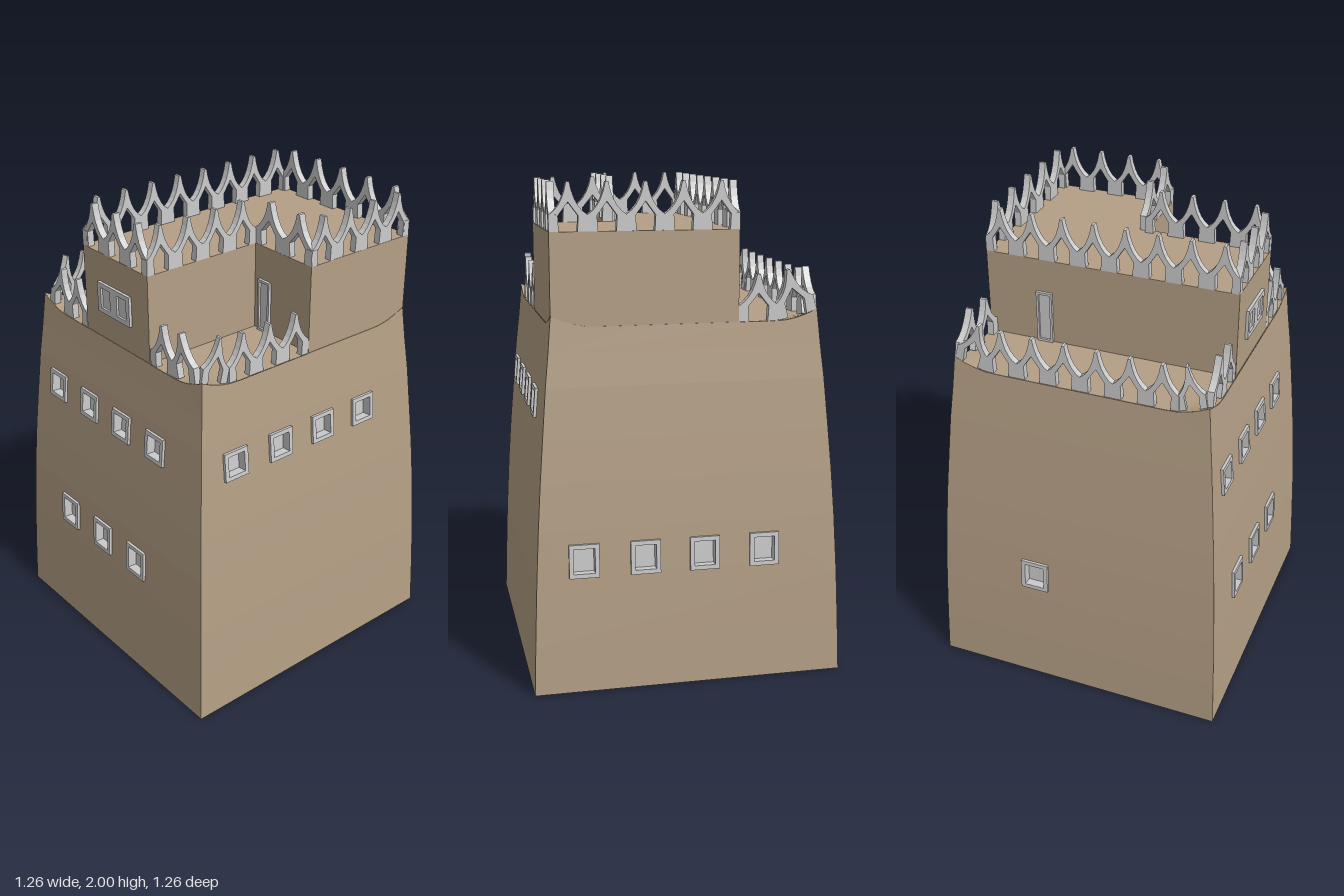
import * as THREE from 'three';

const MUD = new THREE.MeshStandardMaterial({ color: 0xb49f85, flatShading: true, side: THREE.DoubleSide });
const GREY = new THREE.MeshStandardMaterial({ color: 0xcccccc, flatShading: true });
const TERRACE = 1.45, ROOF = 1.81, HALF = 0.53;

// Half width of the tapering walls at each course height
const PROFILE = [[0, 0.63], [0.2, 0.623], [0.42, 0.614], [0.66, 0.601], [0.85, 0.588],
  [1.02, 0.574], [1.22, 0.557], [1.35, 0.543], [1.45, 0.533], [1.5, 0.529]];
function halfWidth(y) {
  let i = 0;
  while (i < PROFILE.length - 2 && y > PROFILE[i + 1][0]) i++;
  const [y0, w0] = PROFILE[i], [y1, w1] = PROFILE[i + 1];
  return w0 + (w1 - w0) * (y - y0) / (y1 - y0);
}

// The terrace and its walls sweep up at the corners
const rise = t => Math.min(1, Math.max(0, (Math.abs(t) - 0.36) / 0.17)) ** 2;
const terraceY = (x, z) => TERRACE + 0.045 * rise(x) * rise(z);

function mesh(name, geometry, material) {
  const m = new THREE.Mesh(geometry, material);
  m.name = name;
  return m;
}

function rect(cls, w, h, x = 0, y = 0) {
  const points = [[-1, -1], [1, -1], [1, 1], [-1, 1]].map(([a, b]) => new THREE.Vector2(x + a * w / 2, y + b * h / 2));
  return new cls(points);
}

// Framed opening: panes is a list of [x, width, height]
function framedOpening(name, w, h, panes, recess) {
  const group = new THREE.Group();
  group.name = name;
  const shape = rect(THREE.Shape, w, h);
  for (const [x, pw, ph] of panes) shape.holes.push(rect(THREE.Path, pw, ph, x));
  const frame = new THREE.ExtrudeGeometry(shape, { depth: recess + 0.012, bevelEnabled: false });
  frame.translate(0, 0, -recess);
  group.add(mesh('frame', frame, GREY));
  for (const [x, pw, ph] of panes) {
    const pane = mesh('pane', new THREE.PlaneGeometry(pw, ph), GREY);
    pane.position.set(x, 0, 0.003 - recess);
    group.add(pane);
  }
  return group;
}

// One sloping wall facing +z, built course by course with window holes
function slopingWall(name, windows) {
  const wall = new THREE.Group();
  wall.name = name;
  for (let i = 0; i < 8; i++) {
    const y0 = PROFILE[i][0], y1 = PROFILE[i + 1][0];
    const w0 = halfWidth(y0), w1 = halfWidth(y1);
    const pts = [new THREE.Vector2(-w0, y0), new THREE.Vector2(w0, y0)];
    if (i < 7) pts.push(new THREE.Vector2(w1, y1), new THREE.Vector2(-w1, y1));
    else for (let k = 24; k >= 0; k--) {
      const t = k / 12 - 1, y = terraceY(t * HALF, HALF);
      pts.push(new THREE.Vector2(t * halfWidth(y), y));
    }
    const shape = new THREE.Shape(pts);
    for (const [x, y, w, h] of windows)
      if (y > y0 && y < y1) shape.holes.push(rect(THREE.Path, w - 0.02, h - 0.02, x, y));
    const course = new THREE.ShapeGeometry(shape), p = course.attributes.position;
    for (let v = 0; v < p.count; v++) p.setZ(v, halfWidth(p.getY(v)));
    course.computeVertexNormals();
    wall.add(mesh('wallCourse', course, MUD));
  }
  for (const [x, y, w, h] of windows) {
    const win = framedOpening('window', w, h, [[0, w - 0.035, h - 0.035]], 0.03);
    win.position.set(x, y, halfWidth(y));
    win.rotation.x = -Math.atan((halfWidth(y - 0.02) - halfWidth(y + 0.02)) / 0.04);
    wall.add(win);
  }
  return wall;
}

// Ogee-shaped merlon with a pointed opening at its foot
function merlonGeometry(w, h) {
  const s = new THREE.Shape();
  const a = w / 2;
  s.moveTo(-a, 0);
  s.lineTo(-a, h * 0.34);
  s.quadraticCurveTo(-a * 0.3, h * 0.5, -a * 0.08, h);
  s.lineTo(a * 0.08, h);
  s.quadraticCurveTo(a * 0.3, h * 0.5, a, h * 0.34);
  s.lineTo(a, 0);
  s.lineTo(a * 0.48, 0);
  s.lineTo(a * 0.52, h * 0.32);
  s.lineTo(0, h * 0.6);
  s.lineTo(-a * 0.52, h * 0.32);
  s.lineTo(-a * 0.48, 0);
  s.closePath();
  const g = new THREE.ExtrudeGeometry(s, { depth: 0.028, bevelEnabled: false, curveSegments: 5 });
  return g.translate(0, 0, -0.014);
}

// Row of merlons between two points; heightAt gives the wall top
function merlonRow(name, [x0, z0], [x1, z1], count, heightAt) {
  const row = new THREE.Group();
  row.name = name;
  const width = Math.hypot(x1 - x0, z1 - z0) / count;
  const geometry = merlonGeometry(width, 0.185);
  const at = t => [x0 + (x1 - x0) * t, z0 + (z1 - z0) * t];
  for (let i = 0; i < count; i++) {
    const a = heightAt(...at(i / count)), b = heightAt(...at((i + 1) / count));
    const [x, z] = at((i + 0.5) / count);
    const m = mesh('merlon', geometry, GREY);
    m.position.set(x, (a + b) / 2, z);
    m.rotation.set(0, Math.atan2(z0 - z1, x1 - x0), Math.atan2(b - a, width));
    row.add(m);
  }
  return row;
}

export function createModel() {
  const model = new THREE.Group();
  model.name = 'mudBrickTower';

  // Sloping walls; windows are [x, y, width, height] as seen facing the wall
  const upper = [-0.4, -0.17, 0.055, 0.28].map(x => [x, 1.12, 0.115, 0.12]);
  const lower = x => [x, 0.54, 0.12, 0.135];
  const walls = [
    ['frontWall', 0, [...upper, ...[-0.305, -0.06, 0.18].map(lower)]],
    ['leftWall', Math.PI / 2, upper],
    ['backWall', Math.PI, [-0.425, -0.18, 0.06, 0.305].map(lower)],
    ['rightWall', -Math.PI / 2, [lower(-0.185)]],
  ];
  for (const [name, turn, windows] of walls) {
    const wall = slopingWall(name, windows);
    wall.rotation.y = turn;
    model.add(wall);
  }

  // Base and terrace floor
  const base = mesh('base', new THREE.PlaneGeometry(1.26, 1.26), MUD);
  base.rotation.x = Math.PI / 2;
  const floor = new THREE.PlaneGeometry(1.064, 1.064, 24, 24).rotateX(-Math.PI / 2);
  const p = floor.attributes.position;
  for (let i = 0; i < p.count; i++) p.setY(i, terraceY(p.getX(i), p.getZ(i)));
  floor.computeVertexNormals();
  model.add(base, mesh('terraceFloor', floor, MUD));

  // L-shaped upper storey
  const plan = [[-0.21, HALF], [0.21, HALF], [0.21, 0], [HALF, 0], [HALF, -HALF], [-0.21, -HALF]];
  const storey = new THREE.ExtrudeGeometry(
    new THREE.Shape(plan.map(([x, z]) => new THREE.Vector2(x, -z))),
    { depth: ROOF - TERRACE + 0.01, bevelEnabled: false });
  storey.rotateX(-Math.PI / 2).translate(0, TERRACE - 0.01, 0);
  model.add(mesh('upperStorey', storey, MUD));

  // Twin window and two terrace doors
  const twin = framedOpening('twinWindow', 0.21, 0.125, [[-0.053, 0.06, 0.085], [0.053, 0.06, 0.085]], 0);
  twin.position.set(-0.003, 1.628, HALF);
  const frontDoor = framedOpening('frontTerraceDoor', 0.068, 0.22, [[0, 0.048, 0.2]], 0);
  frontDoor.position.set(0.272, TERRACE + 0.11, 0);
  const sideDoor = framedOpening('sideTerraceDoor', 0.068, 0.22, [[0, 0.048, 0.2]], 0);
  sideDoor.position.set(-0.21, TERRACE + 0.11, -0.28);
  sideDoor.rotation.y = -Math.PI / 2;
  model.add(twin, frontDoor, sideDoor);

  // Roof parapet
  const e = 0.515, roofY = () => ROOF;
  const roofRows = [
    [[-0.21, e], [0.21, e], 3], [[-0.197, -HALF], [-0.197, HALF], 8], [[-0.21, -e], [HALF, -e], 5],
    [[e, -HALF], [e, 0], 4], [[0.2, -0.015], [HALF, -0.015], 2], [[0.197, 0], [0.197, HALF], 4],
  ];
  for (const [a, b, n] of roofRows) model.add(merlonRow('roofParapet', a, b, n, roofY));

  // Terrace parapet, with a turned merlon in each front corner
  const terraceRows = [
    [[-e, -HALF], [-e, 0.41], 7], [[-HALF, -e], [-0.21, -e], 2], [[-0.49, e], [-0.215, e], 2],
    [[0.215, e], [0.49, e], 2], [[e, 0], [e, 0.4], 3],
    [[-0.512, 0.405], [-0.488, 0.51], 1], [[0.512, 0.405], [0.488, 0.51], 1],
  ];
  for (const [a, b, n] of terraceRows) model.add(merlonRow('terraceParapet', a, b, n, terraceY));
  return model;
}
